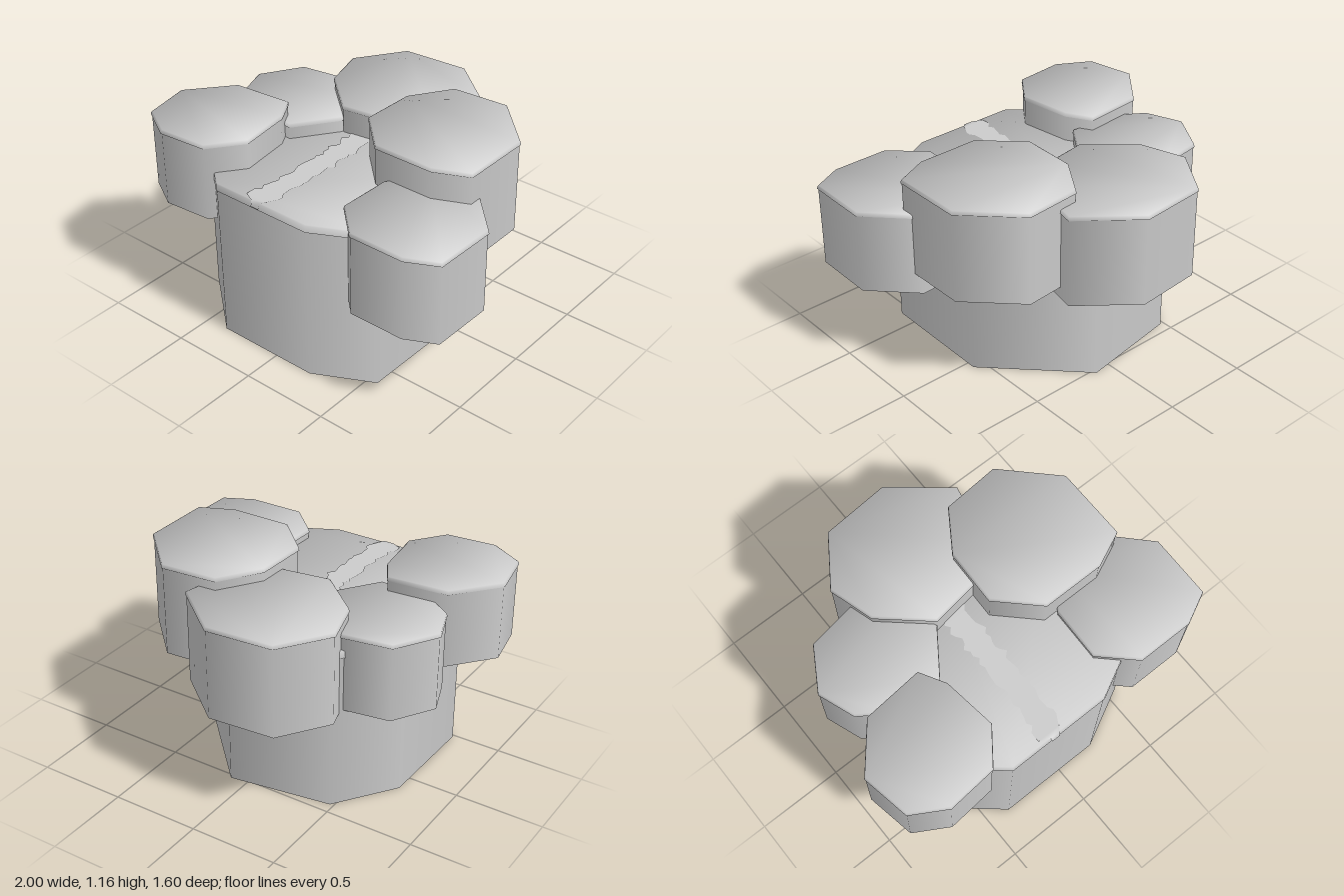
import * as THREE from 'three';

const stone = new THREE.MeshStandardMaterial({ color: 0xcccccc, side: THREE.DoubleSide });

// Open-bottomed rock pillar: polygon outline [x, z] (clockwise from above), slim lip and flat cap
function pillar(name, outline, bottom, lip, top) {
  const n = outline.length;
  const cx = outline.reduce((s, p) => s + p[0], 0) / n;
  const cz = outline.reduce((s, p) => s + p[1], 0) / n;
  // rings: [height, outward offset, upward tilt of the normal]
  const rings = [
    [bottom, -0.003, 0],
    [lip - 0.004, -0.003, 0],
    [lip, 0.003, 0.2],
    [top - 0.004, 0, 0.6],
    [top, -0.007, 1.2],
  ];
  const pos = [], nor = [], index = [];
  for (const [y, offset, tilt] of rings) {
    for (const [x, z] of outline) {
      const r = new THREE.Vector2(x - cx, z - cz).normalize();
      pos.push(x + r.x * offset, y, z + r.y * offset);
      nor.push(...new THREE.Vector3(r.x, tilt, r.y).normalize().toArray());
    }
  }
  for (let k = 0; k < rings.length - 1; k++) {
    for (let i = 0; i < n; i++) {
      const a = k * n + i, b = k * n + (i + 1) % n;
      index.push(b, a, a + n, b, a + n, b + n);
    }
  }
  const t = (rings.length - 1) * n;
  for (let i = 1; i < n - 1; i++) index.push(t, t + i + 1, t + i);
  const g = new THREE.BufferGeometry();
  g.setAttribute('position', new THREE.Float32BufferAttribute(pos, 3));
  g.setAttribute('normal', new THREE.Float32BufferAttribute(nor, 3));
  g.setIndex(index);
  const mesh = new THREE.Mesh(g, stone);
  mesh.name = name;
  return mesh;
}

// Ragged strip lying across the central cap and ending just past its front edge
function groundStrip() {
  let seed = 7;
  const rand = () => (seed = (seed * 16807) % 2147483647) / 2147483647;
  const steps = 44, pos = [], index = [];
  for (let i = 0; i <= steps; i++) {
    const z = -0.45 + 1.235 * i / steps;
    const mid = -0.092 + 0.008 * Math.sin(z * 6);
    const half = i === steps ? 0.045 : 0.068;
    const jag = () => (rand() - 0.5) * 0.04;
    pos.push(mid - half + jag(), 0.934, z, mid + half + jag(), 0.934, z);
  }
  pos.push(-0.12, 0.9, 0.795, -0.07, 0.9, 0.795);
  for (let i = 0; i <= steps; i++) {
    const a = i * 2;
    index.push(a, a + 2, a + 1, a + 1, a + 2, a + 3);
  }
  const g = new THREE.BufferGeometry();
  g.setAttribute('position', new THREE.Float32BufferAttribute(pos, 3));
  g.setIndex(index);
  g.computeVertexNormals();
  const mesh = new THREE.Mesh(g, stone);
  mesh.name = 'groundStrip';
  return mesh;
}

export function createModel() {
  const group = new THREE.Group();
  group.name = 'rockPillars';
  group.add(
    pillar('centralPillar', [[-0.37, 0.785], [-0.725, 0.485], [-0.715, -0.11], [-0.48, -0.44],
      [0.1, -0.53], [0.57, -0.05], [0.56, 0.62], [0.235, 0.785]], 0, 0.89, 0.93),
    pillar('rightFrontPillar', [[-1, 0.4], [-0.8, 0.16], [-0.46, 0.13], [-0.38, 0.27],
      [-0.34, 0.57], [-0.48, 0.755], [-0.76, 0.78], [-0.95, 0.67]], 0.652, 1.08, 1.1),
    pillar('rightBackPillar', [[-0.91, -0.115], [-0.77, -0.345], [-0.5, -0.39], [-0.28, -0.25],
      [-0.215, -0.03], [-0.385, 0.21], [-0.7, 0.18], [-0.835, 0.09]], 0.578, 1.0, 1.02),
    pillar('backPillar', [[-0.35, -0.77], [0.03, -0.8], [0.335, -0.55], [0.26, -0.21],
      [0.06, -0.07], [-0.21, -0.03], [-0.46, -0.25], [-0.535, -0.5]], 0.56, 1.07, 1.09),
    pillar('leftBackPillar', [[0.06, -0.24], [0.21, -0.465], [0.53, -0.49], [0.8, -0.22],
      [0.8, 0.19], [0.61, 0.275], [0.26, 0.275], [0.05, 0.07]], 0.628, 1.14, 1.16),
    pillar('leftFrontPillar', [[0.48, 0.1], [0.77, 0.085], [0.997, 0.32], [0.99, 0.68],
      [0.82, 0.763], [0.5, 0.763], [0.32, 0.59], [0.33, 0.29]], 0.507, 0.965, 0.985),
    groundStrip(),
  );
  return group;
}
